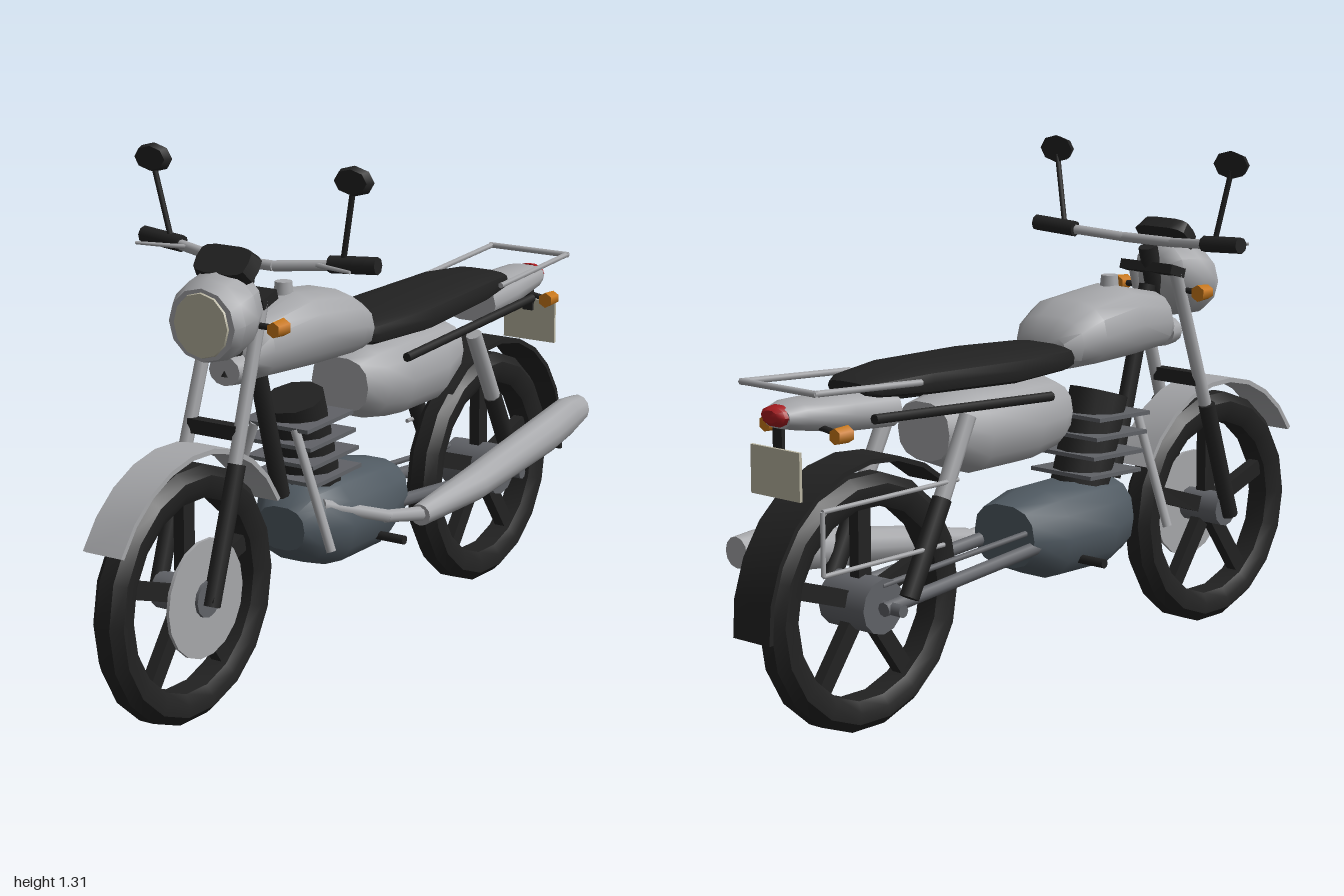
import * as THREE from 'three';
import { toCreasedNormals } from 'three/addons/utils/BufferGeometryUtils.js';

const mat = (name, color, side = THREE.FrontSide) => {
  const m = new THREE.MeshStandardMaterial({ color, side });
  m.name = name;
  return m;
};

export function createModel() {
  const black = mat('black', 0x222222, THREE.DoubleSide);
  const silver = mat('silver', 0xa6a7aa, THREE.DoubleSide);
  const slate = mat('slate', 0x505a62);
  const steel = mat('steel', 0x606267);
  const cream = mat('cream', 0xbab6a2);
  const orange = mat('orange', 0xcc7a1a);
  const red = mat('red', 0xa81c20);

  const root = new THREE.Group();
  root.name = 'motorcycle';
  const V = (p) => new THREE.Vector3(...p);

  const add = (name, geo, material, pos = [0, 0, 0], rot = [0, 0, 0], parent = root) => {
    const m = new THREE.Mesh(geo, material);
    m.name = name;
    m.position.set(...pos);
    m.rotation.set(...rot);
    parent.add(m);
    return m;
  };
  const box = (name, size, material, pos, rot, parent) =>
    add(name, new THREE.BoxGeometry(...size), material, pos, rot, parent);
  // Straight round bar from a to b
  const bar = (name, a, b, r, material, r2 = r, sides = 8, parent = root) => {
    const d = V(b).sub(V(a));
    const m = add(name, new THREE.CylinderGeometry(r2, r, d.length(), sides), material, [0, 0, 0], [0, 0, 0], parent);
    m.position.copy(V(a)).addScaledVector(d, 0.5);
    m.quaternion.setFromUnitVectors(new THREE.Vector3(0, 1, 0), d.normalize());
    return m;
  };
  const path = (name, pts, r, material) => {
    for (let i = 1; i < pts.length; i++) bar(name, pts[i - 1], pts[i], r, material, r, 6);
  };
  // Profile of [radius, x] turned about the x axis; angle 0 points forward, 90 degrees up
  const turned = (profile, sides, start = 0, sweep = 360) => {
    const g = new THREE.LatheGeometry(profile.map(([r, x]) => new THREE.Vector2(r, x)), sides,
      THREE.MathUtils.degToRad(start), THREE.MathUtils.degToRad(sweep));
    g.rotateZ(Math.PI / 2);
    return toCreasedNormals(g, 0.6);
  };
  // Body skinned over rounded sections [z, yLow, yHigh, halfWidth, centreX], front to back
  const loft = (sections, power = 0.8, n = 14) => {
    const pos = [], idx = [];
    const soft = (v) => Math.sign(v) * Math.abs(v) ** power;
    sections.forEach(([z, y0, y1, w, cx = 0]) => {
      for (let j = 0; j < n; j++) {
        const t = (j / n) * Math.PI * 2;
        pos.push(cx + w * soft(Math.cos(t)), (y0 + y1) / 2 + ((y1 - y0) / 2) * soft(Math.sin(t)), z);
      }
    });
    const last = sections.length - 1;
    for (const s of [sections[0], sections[last]]) pos.push(s[4] || 0, (s[1] + s[2]) / 2, s[0]);
    const front = n * (last + 1);
    for (let j = 0; j < n; j++) {
      const k = (j + 1) % n;
      for (let i = 0; i < last; i++) {
        const a = i * n, b = a + n;
        idx.push(a + j, b + j, a + k, b + j, b + k, a + k);
      }
      idx.push(front, j, k, front + 1, last * n + k, last * n + j);
    }
    const g = new THREE.BufferGeometry();
    g.setAttribute('position', new THREE.Float32BufferAttribute(pos, 3));
    g.setIndex(idx);
    return toCreasedNormals(g, 0.75);
  };
  const both = (fn) => [1, -1].forEach(fn);

  // Wheels
  const tyre = [[0.235, -0.03], [0.262, -0.045], [0.29, -0.044], [0.313, -0.02], [0.313, 0.02],
    [0.29, 0.044], [0.262, 0.045], [0.235, 0.03], [0.235, -0.03]];
  const wheel = (name, z, hubR, hubW) => {
    const g = new THREE.Group();
    g.name = name;
    g.position.set(0, 0.315, z);
    root.add(g);
    add('tyre', turned(tyre, 18), black, undefined, undefined, g);
    for (let i = 0; i < 5; i++) {
      const a = (i / 5) * Math.PI * 2;
      box('spoke', [0.03, 0.2, 0.042], black, [0, 0.145 * Math.cos(a), 0.145 * Math.sin(a)], [a, 0, 0], g);
    }
    bar('hub', [-hubW, 0, 0], [hubW, 0, 0], hubR, steel, hubR, 12, g);
    return g;
  };
  const fw = wheel('frontWheel', 0.685, 0.045, 0.07);
  bar('brakeDisc', [0.054, 0, 0], [0.062, 0, 0], 0.145, silver, 0.145, 18, fw);
  wheel('rearWheel', -0.64, 0.068, 0.075);

  // Mudguards
  const guard = (r, w) => [[r, -w], [r + 0.012, -w], [r + 0.012, w], [r, w], [r, -w]];
  const guardSides = (name, z, w, r, m, a, s) =>
    add(name, turned(guard(r, w).map(([q, x]) => [q, x]), 9, a, s), m, [0, 0.315, z]);
  guardSides('frontMudguard', 0.685, 0.055, 0.343, silver, 30, 122);
  guardSides('rearMudguard', -0.64, 0.06, 0.345, black, 48, 136);

  // Front fork, horn and head tube
  both((s) => {
    bar('forkLower', [s * 0.08, 0.3, 0.69], [s * 0.08, 0.62, 0.583], 0.022, black);
    bar('forkUpper', [s * 0.075, 0.6, 0.59], [s * 0.068, 0.99, 0.46], 0.017, silver);
  });
  bar('frontAxle', [-0.095, 0.315, 0.685], [0.095, 0.315, 0.685], 0.018, black);
  box('forkBrace', [0.14, 0.035, 0.03], black, [0, 0.69, 0.56]);
  box('forkClamp', [0.17, 0.025, 0.06], black, [0, 0.99, 0.45], [0.3, 0, 0]);
  bar('headTube', [0, 0.8, 0.5], [0, 1.05, 0.43], 0.025, black);
  const horn = bar('horn', [0, 0.82, 0.48], [0, 0.82, 0.52], 0.05, silver, 0.045, 12);
  horn.scale.z = 0.8;

  // Headlight
  add('headlightShell', loft([[0.607, 0.86, 1.035, 0.095], [0.58, 0.853, 1.055, 0.108],
    [0.53, 0.858, 1.068, 0.108], [0.48, 0.885, 1.06, 0.085], [0.455, 0.92, 1.03, 0.05]], 1, 12), silver);
  bar('headlightLens', [0, 0.947, 0.604], [0, 0.947, 0.612], 0.08, cream, 0.077, 12);

  // Instruments and handlebar
  add('instruments', loft([[0.018, -0.04, 0.04, 0.075], [-0.018, -0.045, 0.045, 0.085]], 0.5), black,
    [0, 1.077, 0.51], [-0.75, 0, 0]);
  bar('handlebarCentre', [-0.08, 1.067, 0.43], [0.08, 1.067, 0.43], 0.013, silver);
  both((s) => {
    bar('handlebar', [s * 0.08, 1.067, 0.43], [s * 0.24, 1.08, 0.39], 0.013, silver);
    bar('grip', [s * 0.215, 1.08, 0.392], [s * 0.34, 1.088, 0.38], 0.021, black);
    bar('lever', [s * 0.19, 1.078, 0.41], [s * 0.31, 1.082, 0.452], 0.006, silver, 0.004, 6);
    bar('mirrorStem', [s * 0.25, 1.09, 0.39], [s * 0.288, 1.27, 0.405], 0.007, black, 0.007, 6);
    const mirror = bar('mirror', [s * 0.289, 1.285, 0.4], [s * 0.289, 1.285, 0.42], 0.054, black, 0.045, 8);
    mirror.scale.z = 0.66;
    // Indicators
    bar('frontIndicatorArm', [s * 0.07, 0.935, 0.49], [s * 0.13, 0.935, 0.49], 0.008, black);
    bar('frontIndicator', [s * 0.135, 0.935, 0.468], [s * 0.135, 0.935, 0.512], 0.022, orange, 0.019, 6);
    bar('rearIndicatorArm', [s * 0.04, 0.77, -0.81], [s * 0.11, 0.76, -0.81], 0.008, black);
    bar('rearIndicator', [s * 0.115, 0.76, -0.79], [s * 0.115, 0.76, -0.834], 0.021, orange, 0.019, 6);
  });

  // Tank, seat, tail and side cover
  add('fuelTank', loft([[0.475, 0.81, 0.87, 0.055], [0.43, 0.785, 0.935, 0.085], [0.27, 0.78, 0.97, 0.12],
    [0.11, 0.78, 0.95, 0.132], [0.045, 0.78, 0.915, 0.112], [0.01, 0.795, 0.875, 0.08]]), silver);
  bar('fuelCap', [0, 0.955, 0.275], [0, 0.993, 0.275], 0.026, silver, 0.022, 10);
  add('seat', loft([[0.05, 0.795, 0.85, 0.085], [0, 0.787, 0.855, 0.105], [-0.2, 0.785, 0.865, 0.13],
    [-0.5, 0.8, 0.872, 0.112], [-0.64, 0.812, 0.862, 0.085], [-0.675, 0.82, 0.85, 0.065]], 0.6), black);
  add('tail', loft([[-0.58, 0.73, 0.83, 0.085], [-0.72, 0.74, 0.835, 0.075], [-0.86, 0.765, 0.835, 0.062],
    [-0.905, 0.775, 0.825, 0.045]]), silver);
  add('tailLight', loft([[-0.895, 0.775, 0.83, 0.045], [-0.915, 0.78, 0.828, 0.04], [-0.926, 0.79, 0.82, 0.025]], 1, 10), red);
  add('sideCover', loft([[0.033, 0.615, 0.755, 0.085], [-0.02, 0.59, 0.778, 0.115], [-0.12, 0.573, 0.785, 0.125],
    [-0.3, 0.573, 0.785, 0.12], [-0.42, 0.62, 0.765, 0.085]]), silver);
  box('numberPlate', [0.16, 0.115, 0.008], cream, [0, 0.672, -0.908]);
  box('plateBracket', [0.03, 0.1, 0.01], black, [0, 0.75, -0.898]);

  // Frame, suspension, rack and pegs
  bar('downTube', [0, 0.95, 0.43], [0, 0.46, 0.29], 0.022, black);
  both((s) => {
    bar('seatRail', [s * 0.12, 0.745, -0.09], [s * 0.12, 0.782, -0.71], 0.012, black);
    bar('shockUpper', [s * 0.127, 0.745, -0.4], [s * 0.13, 0.54, -0.505], 0.021, silver);
    bar('shockLower', [s * 0.13, 0.56, -0.495], [s * 0.13, 0.34, -0.61], 0.024, black);
    bar('swingArm', [s * 0.095, 0.315, -0.66], [s * 0.085, 0.36, -0.1], 0.018, steel);
    bar('crashBar', [s * 0.06, 0.64, 0.315], [s * 0.165, 0.35, 0.315], 0.012, silver);
    bar('rackSide', [s * 0.118, 0.845, -0.55], [s * 0.118, 0.868, -0.9], 0.008, silver, 0.008, 6);
    bar('footPeg', [s * 0.08, 0.31, 0.03], [s * 0.193, 0.31, 0.03], 0.012, black);
  });
  bar('rackEnd', [-0.124, 0.868, -0.897], [0.124, 0.868, -0.897], 0.008, silver, 0.008, 6);
  bar('rearAxle', [-0.14, 0.315, -0.64], [0.14, 0.315, -0.64], 0.016, steel);
  path('saddleGuard', [[-0.14, 0.6, -0.45], [-0.14, 0.6, -0.9], [-0.14, 0.45, -0.9], [-0.14, 0.45, -0.5]], 0.006, silver);
  bar('chainUpper', [-0.07, 0.365, -0.64], [-0.07, 0.4, -0.08], 0.008, steel, 0.008, 6);

  // Engine with finned cylinder
  add('crankcase', loft([[0.292, 0.32, 0.43, 0.07], [0.245, 0.28, 0.478, 0.11], [0.16, 0.252, 0.488, 0.13],
    [-0.02, 0.255, 0.485, 0.13], [-0.13, 0.3, 0.46, 0.1]]), slate);
  bar('cylinder', [0, 0.45, 0.155], [0, 0.695, 0.235], 0.078, black, 0.078, 10);
  for (let i = 0; i < 4; i++) {
    box('coolingFin', [0.2, 0.01, 0.2], steel, [0, 0.5 + i * 0.048, 0.185 + i * 0.012], [0.04, 0, 0]);
  }

  // Exhaust
  bar('exhaustHeader', [0.085, 0.435, 0.24], [0.145, 0.365, 0.03], 0.017, silver);
  bar('exhaustBend', [0.143, 0.367, 0.04], [0.163, 0.338, -0.12], 0.017, silver, 0.02);
  add('muffler', loft([[-0.09, 0.312, 0.368, 0.03, 0.162], [-0.32, 0.325, 0.413, 0.046, 0.178],
    [-0.69, 0.368, 0.475, 0.048, 0.178], [-0.8, 0.39, 0.494, 0.044, 0.177], [-0.875, 0.412, 0.488, 0.036, 0.175]], 1, 12), silver);

  return root;
}
